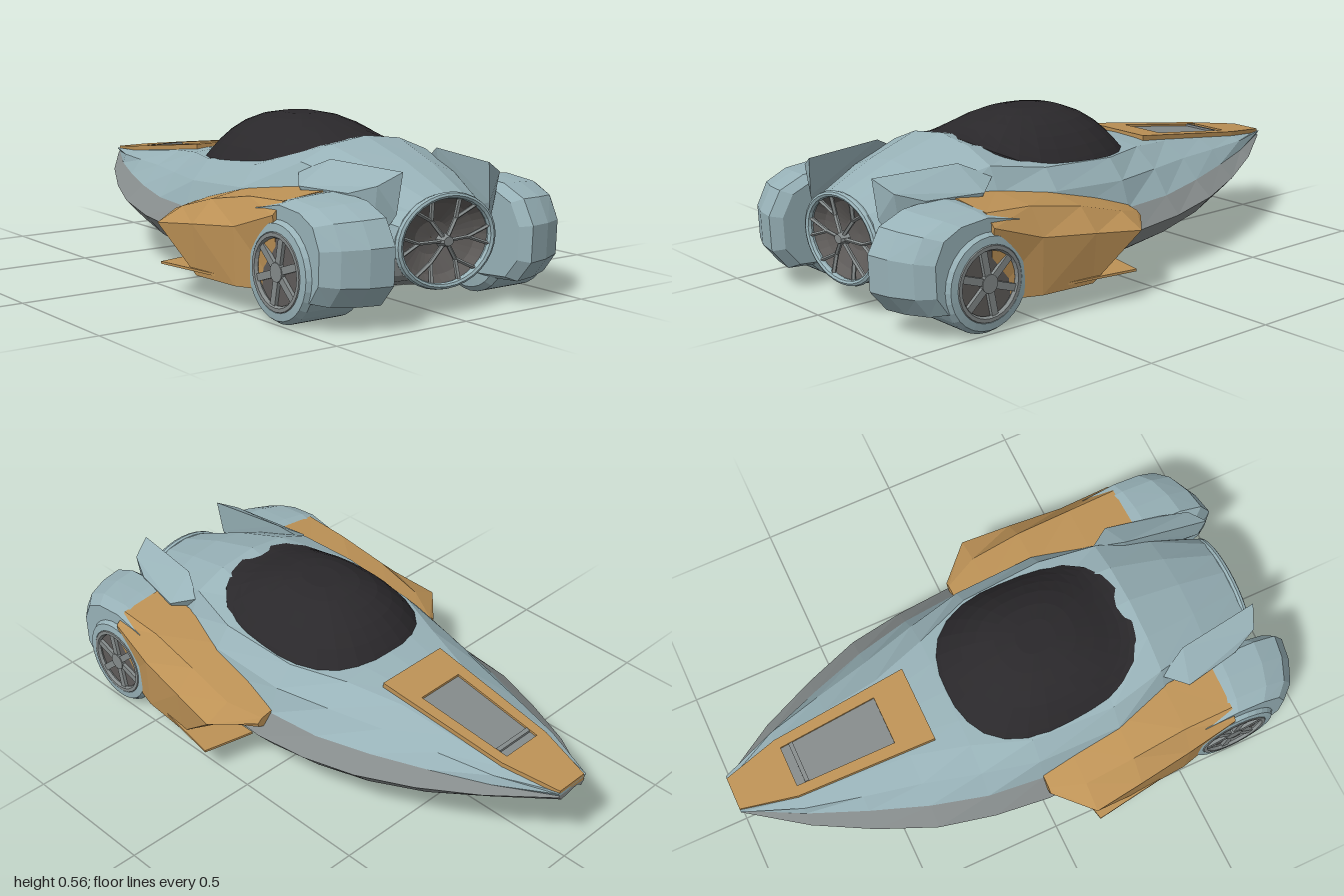
import * as THREE from 'three';
import { ConvexGeometry } from 'three/addons/geometries/ConvexGeometry.js';

const paint = (color) => new THREE.MeshStandardMaterial({ color, flatShading: true, side: THREE.DoubleSide });
const V = (x, y, z) => new THREE.Vector3(x, y, z);

function add(parent, name, geometry, material) {
  const mesh = new THREE.Mesh(geometry, material);
  mesh.name = name;
  parent.add(mesh);
  return mesh;
}

// Skin a list of rings; each ring runs counter-clockwise seen from the last ring's side
function loft(rings, { closed = true, capStart = true, capEnd = true } = {}) {
  const n = rings[0].length, pos = rings.flat().flatMap((p) => [p.x, p.y, p.z]), idx = [];
  const steps = closed ? n : n - 1;
  for (let i = 0; i < rings.length - 1; i++) {
    for (let j = 0; j < steps; j++) {
      const a = i * n + j, b = i * n + ((j + 1) % n), c = a + n, d = b + n;
      idx.push(a, b, c, b, d, c);
    }
  }
  const last = (rings.length - 1) * n;
  for (let j = 1; j < n - 1; j++) {
    if (capStart) idx.push(0, j + 1, j);
    if (capEnd) idx.push(last, last + j, last + j + 1);
  }
  const g = new THREE.BufferGeometry();
  g.setAttribute('position', new THREE.Float32BufferAttribute(pos, 3));
  g.setIndex(idx);
  g.computeVertexNormals();
  return g;
}

// Hull stations: z, chine x y, shoulder x y, deck y, bulge x y, floor x y, keel y
const HULL = [
  [-1.0, 0.06, 0.305, 0.05, 0.313, 0.315, 0.065, 0.3, 0.03, 0.298, 0.297],
  [-0.8, 0.16, 0.29, 0.11, 0.335, 0.341, 0.2, 0.27, 0.1, 0.235, 0.23],
  [-0.6, 0.24, 0.28, 0.13, 0.36, 0.367, 0.3, 0.24, 0.17, 0.16, 0.15],
  [-0.4, 0.31, 0.27, 0.15, 0.385, 0.393, 0.38, 0.22, 0.22, 0.11, 0.1],
  [-0.2, 0.36, 0.258, 0.21, 0.405, 0.418, 0.42, 0.2, 0.26, 0.08, 0.065],
  [0.0, 0.38, 0.255, 0.285, 0.412, 0.43, 0.44, 0.19, 0.29, 0.065, 0.05],
  [0.3, 0.38, 0.27, 0.3, 0.43, 0.48, 0.42, 0.18, 0.3, 0.065, 0.05],
  [0.5, 0.31, 0.27, 0.26, 0.46, 0.525, 0.36, 0.17, 0.26, 0.07, 0.055],
  [0.7, 0.27, 0.26, 0.21, 0.41, 0.465, 0.29, 0.17, 0.22, 0.08, 0.065],
  [0.9, 0.2, 0.24, 0.14, 0.345, 0.385, 0.195, 0.2, 0.14, 0.135, 0.098],
];
const mirrorRing = (half, z) => [
  ...half.map(([x, y]) => V(x, y, z)),
  ...half.slice(0, -1).reverse().map(([x, y]) => V(-x, y, z)),
];
function keel(z) {
  const i = Math.max(1, HULL.findIndex((s) => s[0] >= z));
  const a = HULL[i - 1], b = HULL[i];
  return THREE.MathUtils.lerp(a[10], b[10], (z - a[0]) / (b[0] - a[0]));
}

function addHull(g, blue, grey, dark) {
  const upper = HULL.map(([z, cx, cy, sx, sy, top]) => mirrorRing([
    [cx, cy], [(cx + sx) / 2 + 0.015, (cy + sy) / 2 + 0.01], [sx, sy],
    [sx * 0.55, sy + (top - sy) * 0.72], [0, top]], z));
  const lower = HULL.map(([z, cx, cy, , , , lx, ly, bx, by, bot]) => mirrorRing([
    [-cx, cy], [-lx, ly], [-(lx * 0.55 + bx * 0.45), (ly + by) / 2 - 0.015], [-bx, by], [0, bot]], z));
  const open = { closed: false, capEnd: false };
  add(g, 'upperHull', loft(upper, open), blue);
  add(g, 'lowerHull', loft(lower, open), grey);

  // Long oval plate along the keel
  const plate = [];
  for (let i = 0; i <= 12; i++) {
    const t = -Math.cos((i / 12) * Math.PI), z = -0.27 + 0.43 * t;
    const w = 0.125 * Math.sqrt(Math.max(0.002, 1 - t * t)), y = keel(z);
    plate.push([V(w, y + 0.02, z), V(-w, y + 0.02, z), V(-w * 0.85, y - 0.007, z), V(w * 0.85, y - 0.007, z)]);
  }
  add(g, 'bellyPlate', loft(plate), dark);
}

function addCanopy(g, material) {
  const rings = [0.2, 0.4, 0.58, 0.73, 0.85, 0.94, 1, 1.01].map((r, k) => {
    const ring = [];
    for (let j = 0; j < 28; j++) {
      const a = (j / 28) * Math.PI * 2, c = Math.cos(a), s = Math.sin(a);
      const q = Math.pow(Math.abs(c) ** 2.4 + Math.abs(s) ** 2.4, -1 / 2.4);
      const z = 0.14 + 0.345 * r * q * s;
      const base = 0.405 + 0.11 * (Math.max(0, z - 0.14) / 0.345) ** 2;
      const y = k === 7 ? base - 0.05 : base + (0.572 - base) * (1 - r ** 2.7);
      ring.push(V(0.295 * r * q * c, y, z));
    }
    return ring;
  });
  add(g, 'canopy', loft(rings, { capEnd: false }), material);
}

function addNosePanel(g, orange, grey) {
  // Flat outlines in x and -z, laid on the sloping deck
  const lay = (shape, from, to) => {
    const geo = new THREE.ExtrudeGeometry(shape, { depth: to - from, bevelEnabled: false });
    geo.translate(0, 0, from).rotateX(-Math.PI / 2);
    const p = geo.attributes.position;
    for (let i = 0; i < p.count; i++) p.setY(i, p.getY(i) + 0.315 + 0.131 * (p.getZ(i) + 1));
    geo.computeVertexNormals();
    return geo;
  };
  const outline = (pts) => new THREE.Shape(pts.map(([x, z]) => new THREE.Vector2(x, -z)));
  const vent = [[-0.09, -0.43], [0.09, -0.43], [0.075, -0.79], [-0.075, -0.79]];
  const frame = outline([[-0.14, -0.3], [0.14, -0.3], [0.11, -0.8], [0.06, -1], [-0.06, -1], [-0.11, -0.8]]);
  frame.holes.push(outline(vent));
  add(g, 'nosePanel', lay(frame, -0.015, 0.01), orange);
  add(g, 'noseVent', lay(outline(vent), -0.01, 0.002), grey);
  add(g, 'ventBar', lay(outline([[-0.076, -0.745], [0.076, -0.745], [0.074, -0.76], [-0.074, -0.76]]), 0, 0.01), grey);
}

function addTurbine(g, blue, grey, dark) {
  const turbine = new THREE.Group();
  turbine.name = 'turbine';
  turbine.position.set(0, 0.24, 0.9);
  turbine.scale.set(1, 0.75, 1);
  g.add(turbine);
  add(turbine, 'intakeRing', new THREE.TorusGeometry(0.19, 0.014, 8, 32), blue);
  const bowl = [[0.001, -0.07], [0.07, -0.065], [0.15, -0.035], [0.19, 0]].map(([x, y]) => new THREE.Vector2(x, y));
  add(turbine, 'intakeBowl', new THREE.LatheGeometry(bowl, 32).rotateX(Math.PI / 2), dark);
  add(turbine, 'hub', new THREE.CylinderGeometry(0.02, 0.03, 0.03, 10).rotateX(Math.PI / 2), grey);
  const strut = (a, b) => add(turbine, 'strut', new THREE.TubeGeometry(new THREE.LineCurve3(a, b), 1, 0.008, 5), grey);
  for (let i = 0; i < 6; i++) {
    const at = (r, d, z) => V(r * Math.cos(i * Math.PI / 3 + d), r * Math.sin(i * Math.PI / 3 + d), z);
    strut(V(0, 0, 0), at(0.1, 0, -0.012));
    for (const d of [-0.22, 0.22]) strut(at(0.1, 0, -0.012), at(0.188, d, 0));
  }
}

function sideParts({ blue, grey, dark, orange }) {
  const side = new THREE.Group();

  // Pod sections: inner bottom, outer bottom, outer ridge, outer top, inner top
  const pod = [
    [0.0, [0.36, 0.2], [0.435, 0.225], [0.44, 0.24], [0.42, 0.255], [0.35, 0.27]],
    [0.12, [0.36, 0.17], [0.5, 0.21], [0.565, 0.24], [0.47, 0.285], [0.34, 0.31]],
    [0.3, [0.36, 0.08], [0.53, 0.09], [0.545, 0.26], [0.47, 0.335], [0.32, 0.36]],
    [0.5, [0.34, 0.08], [0.515, 0.09], [0.52, 0.28], [0.46, 0.37], [0.29, 0.385]],
    [0.68, [0.3, 0.09], [0.47, 0.1], [0.5, 0.34], [0.46, 0.38], [0.28, 0.4]],
  ];
  add(side, 'sidePod', loft(pod.map(([z, ...pts]) => pts.map(([x, y]) => V(x, y, z)))), orange);

  // Thin blade under the pod
  const blade = [[0.38, 0.1], [0.565, 0.14], [0.525, 0.4], [0.38, 0.4]];
  add(side, 'blade', loft([0.105, 0.113].map((y) => blade.map(([x, z]) => V(x, y, z)).reverse())), orange);

  // Wheel housing: one side profile (z, y), shrunk towards the outer face
  const profile = [[0.52, 0.2], [0.55, 0.37], [0.72, 0.4], [0.86, 0.388], [0.95, 0.35], [0.995, 0.27],
    [0.99, 0.15], [0.93, 0.08], [0.8, 0.07], [0.55, 0.08]];
  const rings = [[0.255, 0.9, 0.9], [0.28, 1, 1], [0.36, 0.96, 0.98], [0.44, 0.86, 0.94], [0.485, 0.73, 0.86]];
  add(side, 'wheelHousing', loft(rings.map(([x, sz, sy]) =>
    profile.map(([z, y]) => V(x, 0.2 + (y - 0.2) * sy, 0.62 + (z - 0.62) * sz)))), blue);

  // Wheel
  const wheel = new THREE.Group();
  wheel.name = 'wheel';
  wheel.position.set(0, 0.168, 0.7);
  side.add(wheel);
  const disc = (r, x0, x1) => new THREE.CylinderGeometry(r, r, x1 - x0, 28).rotateZ(Math.PI / 2).translate((x0 + x1) / 2, 0, 0);
  const tread = [[0.1, 0.265], [0.145, 0.27], [0.163, 0.29], [0.163, 0.48], [0.15, 0.5], [0.125, 0.503], [0.115, 0.485]]
    .map(([r, x]) => new THREE.Vector2(r, x));
  add(wheel, 'tyre', new THREE.LatheGeometry(tread, 28).rotateZ(-Math.PI / 2), blue);
  add(wheel, 'wheelDish', disc(0.118, 0.28, 0.488), dark);
  add(wheel, 'rim', new THREE.TorusGeometry(0.116, 0.012, 6, 28).rotateY(Math.PI / 2).translate(0.495, 0, 0), grey);
  add(wheel, 'wheelHub', disc(0.03, 0.48, 0.503), grey);
  for (let i = 0; i < 6; i++) {
    const spoke = new THREE.BoxGeometry(0.02, 0.1, 0.024).translate(0.49, 0.065, 0).rotateX(i * Math.PI / 3 + 0.2);
    add(wheel, 'spoke', spoke, grey);
  }

  // Raised fin beside the front deck
  const fin = [[0.175, 0.47, 0.9], [0.22, 0.478, 0.6], [0.25, 0.43, 0.87], [0.29, 0.4, 0.78], [0.33, 0.4, 0.58],
    [0.24, 0.22, 0.83], [0.25, 0.25, 0.6], [0.19, 0.34, 0.89], [0.27, 0.43, 0.5]];
  add(side, 'fin', new ConvexGeometry(fin.map((p) => V(...p))), blue);
  return side;
}

export function createModel() {
  const model = new THREE.Group();
  model.name = 'racer';
  const mats = {
    blue: paint(0x98b2b8), grey: paint(0x858b8b), dark: paint(0x5f5c5a),
    orange: paint(0xbd9256), glass: paint(0x2a282b),
  };
  addHull(model, mats.blue, mats.grey, mats.dark);
  addCanopy(model, mats.glass);
  addNosePanel(model, mats.orange, mats.grey);
  addTurbine(model, mats.blue, mats.grey, mats.dark);
  for (const s of [1, -1]) {
    const side = sideParts(mats);
    side.name = s > 0 ? 'leftSide' : 'rightSide';
    side.scale.x = s;
    model.add(side);
  }
  return model;
}
